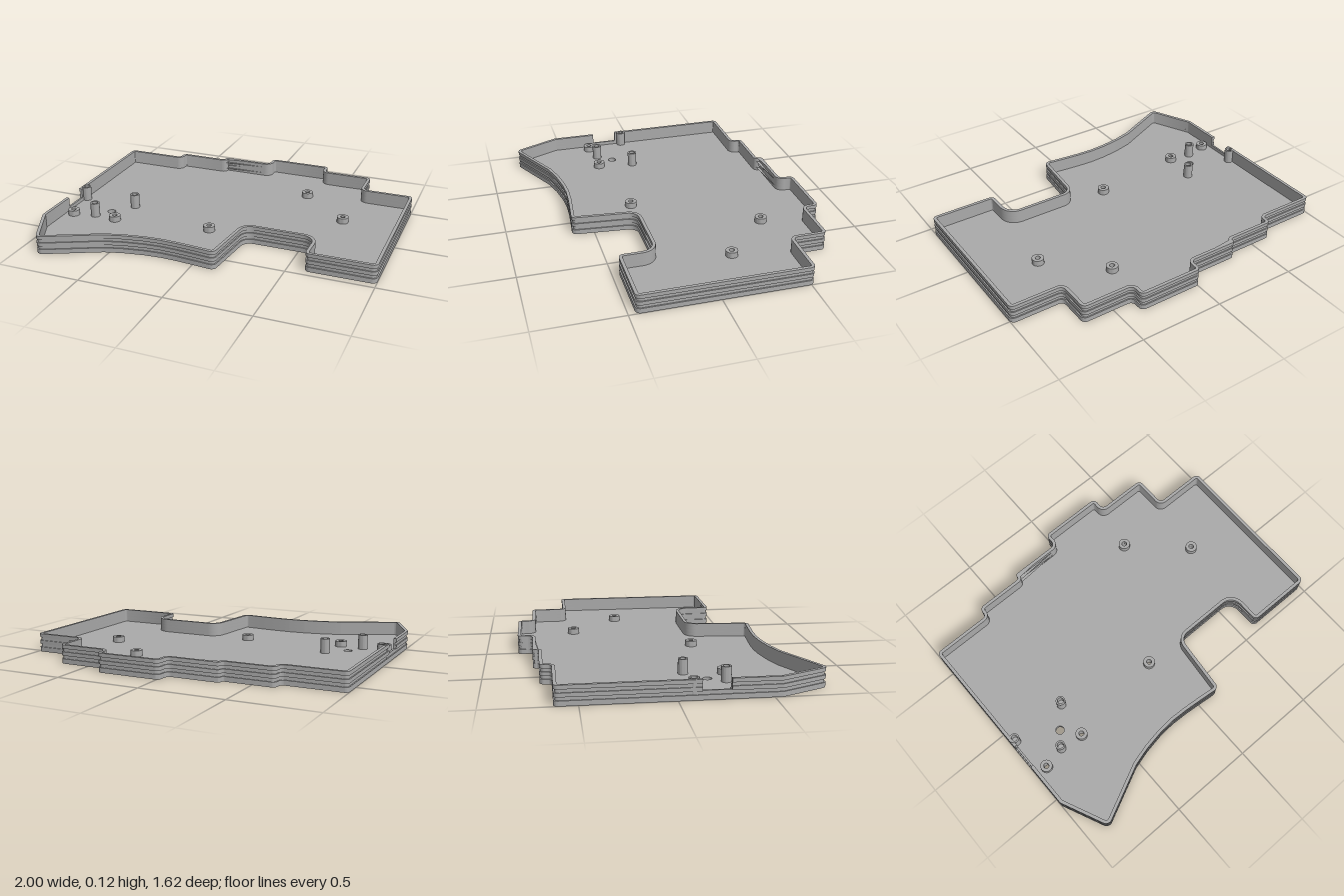
import * as THREE from 'three';
import { toCreasedNormals } from 'three/addons/utils/BufferGeometryUtils.js';

const HEIGHT = 0.11, FLOOR = 0.028, WALL = 0.019, GROOVE = 0.007;
const PORT = [0.125, 0.277], SILL = 0.05;

// Plan corners as [x, z, corner radius], running from one side of the port to the other
const CORNERS = [
  [-1, PORT[0], 0], [-1, -0.625, 0.025], [-0.634, -0.625, 0.025], [-0.634, -0.69, 0.03],
  [-0.33, -0.69, 0.015], [-0.33, -0.725, 0.018], [-0.017, -0.725, 0.03], [-0.017, -0.812, 0.03],
  [0.377, -0.812, 0.03], [0.377, -0.725, 0.03], [0.687, -0.725, 0.03], [0.687, -0.52, 0.03],
  [1, -0.52, 0.03], [1, 0.46, 0.03], [0.597, 0.46, 0.03], [0.597, 0.25, 0.075],
  [0.173, 0.25, 0.06], [0.136, 0.63, 0.03], [0, 0.616, 0.04], [-0.1, 0.607, 0.04],
  [-0.2, 0.603, 0.04], [-0.3, 0.61, 0.04], [-0.42, 0.63, 0.04], [-0.53, 0.66, 0.04],
  [-0.872, 0.822, 0.035], [-1, 0.545, 0.03], [-1, PORT[1], 0],
];

// Replace each corner by a tangent arc
function roundedOutline(corners) {
  const points = [];
  corners.forEach(([x, z, r], i) => {
    const p = new THREE.Vector2(x, z);
    if (!r) { points.push(p); return; }
    const n = corners.length;
    const a = new THREE.Vector2(...corners[(i + n - 1) % n].slice(0, 2)).sub(p).normalize();
    const b = new THREE.Vector2(...corners[(i + 1) % n].slice(0, 2)).sub(p).normalize();
    const half = Math.acos(THREE.MathUtils.clamp(a.dot(b), -1, 1)) / 2;
    const bisector = a.clone().add(b).normalize();
    const centre = p.clone().addScaledVector(bisector, r / Math.sin(half));
    const start = p.clone().addScaledVector(a, r / Math.tan(half)).sub(centre);
    const end = p.clone().addScaledVector(b, r / Math.tan(half)).sub(centre);
    const sweep = Math.atan2(start.cross(end), start.dot(end));
    const steps = Math.max(1, Math.ceil(Math.abs(sweep) / 0.22));
    for (let k = 0; k <= steps; k++) {
      points.push(start.clone().rotateAround(new THREE.Vector2(), sweep * k / steps).add(centre));
    }
  });
  return points;
}

// Move every outline point inwards by a mitred distance
function inset(points, distance) {
  const n = points.length;
  return points.map((p, i) => {
    const d1 = p.clone().sub(points[(i + n - 1) % n]).normalize();
    const d2 = points[(i + 1) % n].clone().sub(p).normalize();
    const n1 = new THREE.Vector2(-d1.y, d1.x), n2 = new THREE.Vector2(-d2.y, d2.x);
    const m = n1.clone().add(n2).normalize();
    return p.clone().addScaledVector(m, distance / m.dot(n1));
  });
}

// Extrude a plan shape between two heights
function slab(shape, y0, y1) {
  const geometry = new THREE.ExtrudeGeometry(shape, { depth: y1 - y0, bevelEnabled: false, curveSegments: 16 });
  geometry.rotateX(Math.PI / 2).translate(0, y1, 0);
  return toCreasedNormals(geometry, 0.5);
}

export function createModel() {
  const group = new THREE.Group();
  const grey = new THREE.MeshStandardMaterial({ color: 0xaaaaaa });
  grey.name = 'case grey';
  const add = (name, geometry) => {
    const mesh = new THREE.Mesh(geometry, grey);
    mesh.name = name;
    group.add(mesh);
    return mesh;
  };

  const outline = roundedOutline(CORNERS);
  const inner = inset(outline, WALL);
  const grooved = inset(outline, GROOVE);

  const screwPosts = [[0.335, -0.465], [0.645, -0.175], [-0.06, 0.23], [-0.65, 0.305], [-0.925, 0.32]];
  const tallPosts = [[-0.968, 0.085], [-0.625, 0.085], [-0.792, 0.29]];

  // Floor plate with screw holes and one larger access hole
  const floor = new THREE.Shape(outline);
  const drill = (x, z, r) => floor.holes.push(new THREE.Path().absarc(x, z, r, 0, Math.PI * 2, true));
  screwPosts.forEach(([x, z]) => drill(x, z, 0.015));
  drill(-0.73, 0.2, 0.025);
  add('floor', slab(floor, 0, FLOOR));

  // Wall bands with two recessed grooves, open at the port
  const levels = [FLOOR, 0.047, 0.069, 0.088, HEIGHT];
  for (let i = 0; i < 4; i++) {
    const recessed = i % 2 === 0;
    const band = new THREE.Shape([...(recessed ? grooved : outline), ...inner.slice().reverse()]);
    add(recessed ? 'wallGroove' : 'wallBand', slab(band, levels[i], levels[i + 1]));
  }

  // Low sill under the port opening
  const sill = new THREE.BoxGeometry(WALL - GROOVE, SILL - FLOOR, PORT[1] - PORT[0]);
  sill.translate(-1 + (WALL + GROOVE) / 2, (SILL + FLOOR) / 2, (PORT[0] + PORT[1]) / 2);
  add('portSill', sill);

  // Hollow round posts standing on the floor
  const post = (name, x, z, radius, bore, top, bottom, blind) => {
    const profile = [[radius, FLOOR], [radius, top], [bore, top], [bore, bottom]];
    if (blind) profile.push([0, bottom]);
    const lathe = new THREE.LatheGeometry(profile.map(p => new THREE.Vector2(...p)), 28);
    add(name, toCreasedNormals(lathe, 0.5)).position.set(x, 0, z);
  };
  screwPosts.forEach(([x, z]) => post('screwPost', x, z, 0.035, 0.015, 0.062, FLOOR, false));
  tallPosts.forEach(([x, z]) => post('tallPost', x, z, 0.028, 0.018, 0.115, 0.06, true));

  return group;
}
